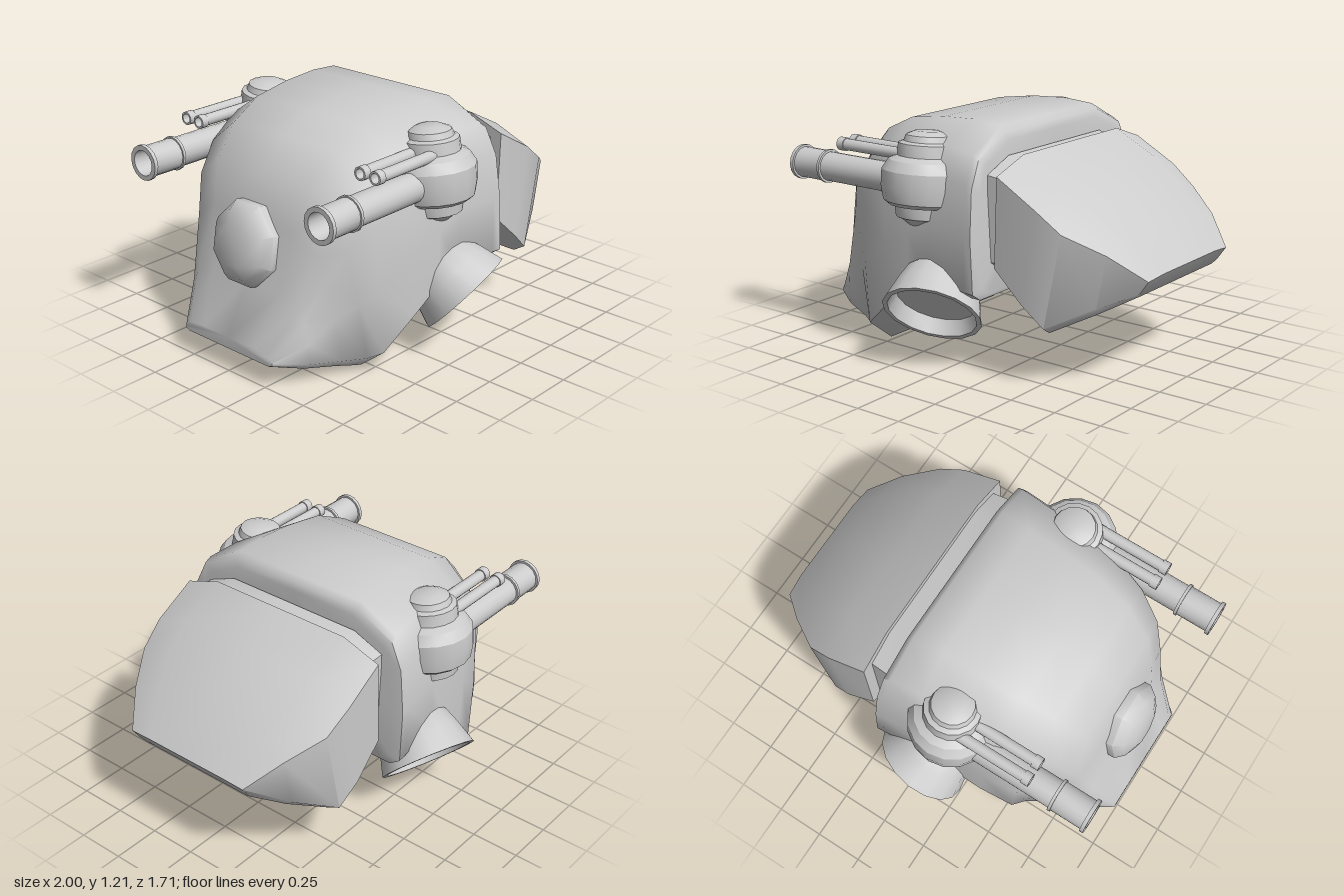
import * as THREE from 'three';
import { toCreasedNormals } from 'three/addons/utils/BufferGeometryUtils.js';

const material = new THREE.MeshStandardMaterial({ color: 0xcccccc });
const openMaterial = new THREE.MeshStandardMaterial({ color: 0xcccccc, side: THREE.DoubleSide });

function mesh(name, geometry, mat = material) {
  const m = new THREE.Mesh(geometry, mat);
  m.name = name;
  return m;
}

// Loft from +x to -x. Section: [topX, topY, bottomX, bottomY, halfWidth, bottomFactor, chamferStart].
// upper: [width factor, fraction from top to bottom]; the bottom chamfer follows, then all is mirrored across z.
function loft(sections, upper, crease) {
  const pos = [], idx = [];
  const n = 2 * upper.length + 4;
  for (const [tx, ty, bx, by, w, bottom, chamfer] of sections) {
    const half = [...upper, [1, chamfer], [bottom, 1], [0, 1]];
    const ring = [...half, ...half.slice(1, -1).reverse().map(([f, t]) => [-f, t])];
    for (const [f, t] of ring) pos.push(tx + (bx - tx) * t, ty + (by - ty) * t, f * w);
  }
  const last = (sections.length - 1) * n;
  for (let i = 0; i < last; i += n) {
    for (let j = 0; j < n; j++) {
      const k = (j + 1) % n;
      idx.push(i + j, i + n + j, i + k, i + n + j, i + n + k, i + k);
    }
  }
  for (let j = 1; j < n - 1; j++) idx.push(0, j, j + 1, last, last + j + 1, last + j);
  const g = new THREE.BufferGeometry();
  g.setAttribute('position', new THREE.Float32BufferAttribute(pos, 3));
  g.setIndex(idx);
  return toCreasedNormals(g, crease);
}

function lathe(points, segments, crease = 0.6) {
  const g = new THREE.LatheGeometry(points.map(([r, h]) => new THREE.Vector2(r, h)), segments);
  return toCreasedNormals(g, crease);
}

// Hollow barrel along -x, profile as [radius, distance]
function barrel(name, points, x, y, z) {
  const m = mesh(name, lathe(points, 16), openMaterial);
  m.rotation.z = Math.PI / 2;
  m.position.set(x, y, z);
  return m;
}

function createTurret() {
  const turret = new THREE.Group();
  turret.name = 'turret';
  const ball = mesh('turretBall', lathe([
    [0, -0.22], [0.07, -0.22], [0.11, -0.19], [0.135, -0.18], [0.145, -0.12], [0.175, -0.12],
    [0.2, -0.1], [0.215, -0.03], [0.215, 0.05], [0.185, 0.1], [0.145, 0.12], [0.14, 0.18],
    [0.115, 0.19], [0.105, 0.22], [0.06, 0.24], [0, 0.24]], 16, 0.45));
  ball.rotation.x = -0.1;
  turret.add(ball);
  turret.add(barrel('mainBarrel', [
    [0, 0], [0.075, 0], [0.075, 0.6], [0.087, 0.6], [0.087, 0.615], [0.079, 0.615], [0.079, 0.78],
    [0.09, 0.78], [0.09, 0.8], [0.065, 0.8], [0.065, 0.6], [0, 0.6]], -0.01, -0.01, 0.03));
  for (const z of [-0.02, 0.07]) {
    turret.add(barrel('smallBarrel', [
      [0, 0], [0.029, 0], [0.029, 0.45], [0.034, 0.45], [0.034, 0.49], [0.024, 0.49],
      [0.024, 0.4], [0, 0.4]], 0, 0.13, z));
  }
  return turret;
}

function createThruster() {
  const thruster = mesh('thruster', lathe([
    [0, -0.36], [0.05, -0.35], [0.085, -0.32], [0.1, -0.27], [0.145, -0.25], [0.185, -0.2],
    [0.215, -0.12], [0.25, 0], [0.225, 0], [0.2, -0.08], [0, -0.08]], 16), openMaterial);
  const axis = new THREE.Vector3(0.25, -0.68, 0.69).normalize();
  thruster.quaternion.setFromUnitVectors(new THREE.Vector3(0, 1, 0), axis);
  thruster.position.set(-0.04, 0.29, 0.675);
  return thruster;
}

export function createModel() {
  const model = new THREE.Group();
  model.name = 'armouredHead';

  // Domed shell with a forward lip and a ramped underside
  model.add(mesh('shell', loft([
    [0.20, 1.13, 0.235, 0.42, 0.63, 0.92, 0.95],
    [0.19, 1.17, 0.225, 0.40, 0.685, 0.92, 0.95],
    [0.16, 1.195, 0.17, 0.40, 0.68, 0.92, 0.95],
    [0.0, 1.21, -0.10, 0.41, 0.66, 0.9, 0.94],
    [-0.2, 1.20, -0.22, 0.31, 0.65, 0.85, 0.92],
    [-0.42, 1.17, -0.36, 0.17, 0.63, 0.78, 0.9],
    [-0.6, 1.09, -0.53, 0.0, 0.585, 0.74, 0.89],
    [-0.75, 0.95, -0.57, 0.01, 0.52, 0.82, 0.92],
    [-0.82, 0.74, -0.68, 0.04, 0.455, 0.88, 0.93],
    [-0.87, 0.43, -0.85, 0.08, 0.40, 0.9, 0.9],
    [-1.0, 0.18, -1.0, 0.12, 0.30, 0.92, 0.85],
  ], [[0, 0], [0.57, 0], [0.87, 0.13], [0.96, 0.3], [1, 0.6]], 0.95)));

  // Neck joining the shell to the rear block
  model.add(mesh('neck', loft([
    [0.32, 1.04, 0.32, 0.51, 0.54, 0.85, 0.88],
    [0.21, 1.06, 0.21, 0.50, 0.55, 0.85, 0.88],
  ], [[0, 0], [0.7, 0], [1, 0.12]], 0.5)));

  // Faceted rear block tapering to a wedge
  model.add(mesh('rearBlock', loft([
    [1.0, 0.58, 0.93, 0.48, 0.36, 0.92, 0.8],
    [0.85, 0.735, 0.78, 0.395, 0.48, 0.92, 0.9],
    [0.68, 0.86, 0.56, 0.28, 0.59, 0.9, 0.94],
    [0.54, 0.96, 0.45, 0.38, 0.61, 0.9, 0.94],
    [0.31, 1.08, 0.29, 0.53, 0.605, 0.9, 0.94],
  ], [[0, 0], [0.66, 0], [1, 0.13]], 0.9)));

  // Raised eight-sided eye on the face
  const eyeGeometry = lathe([
    [0, -0.06], [0.215, -0.06], [0.215, 0.03], [0.175, 0.075], [0.11, 0.1], [0, 0.105]], 8, 0.8);
  eyeGeometry.rotateY(Math.PI / 8);
  const eye = mesh('eye', eyeGeometry);
  eye.rotation.z = Math.PI / 2 - 0.18;
  eye.position.set(-0.845, 0.62, 0);
  eye.scale.z = 0.95;
  model.add(eye);

  // Mirrored turrets and thrusters
  for (const side of [1, -1]) {
    const half = new THREE.Group();
    half.name = side > 0 ? 'leftSide' : 'rightSide';
    const turret = createTurret();
    turret.position.set(-0.165, 0.92, 0.56);
    half.add(turret, createThruster());
    half.scale.z = side;
    model.add(half);
  }
  return model;
}
